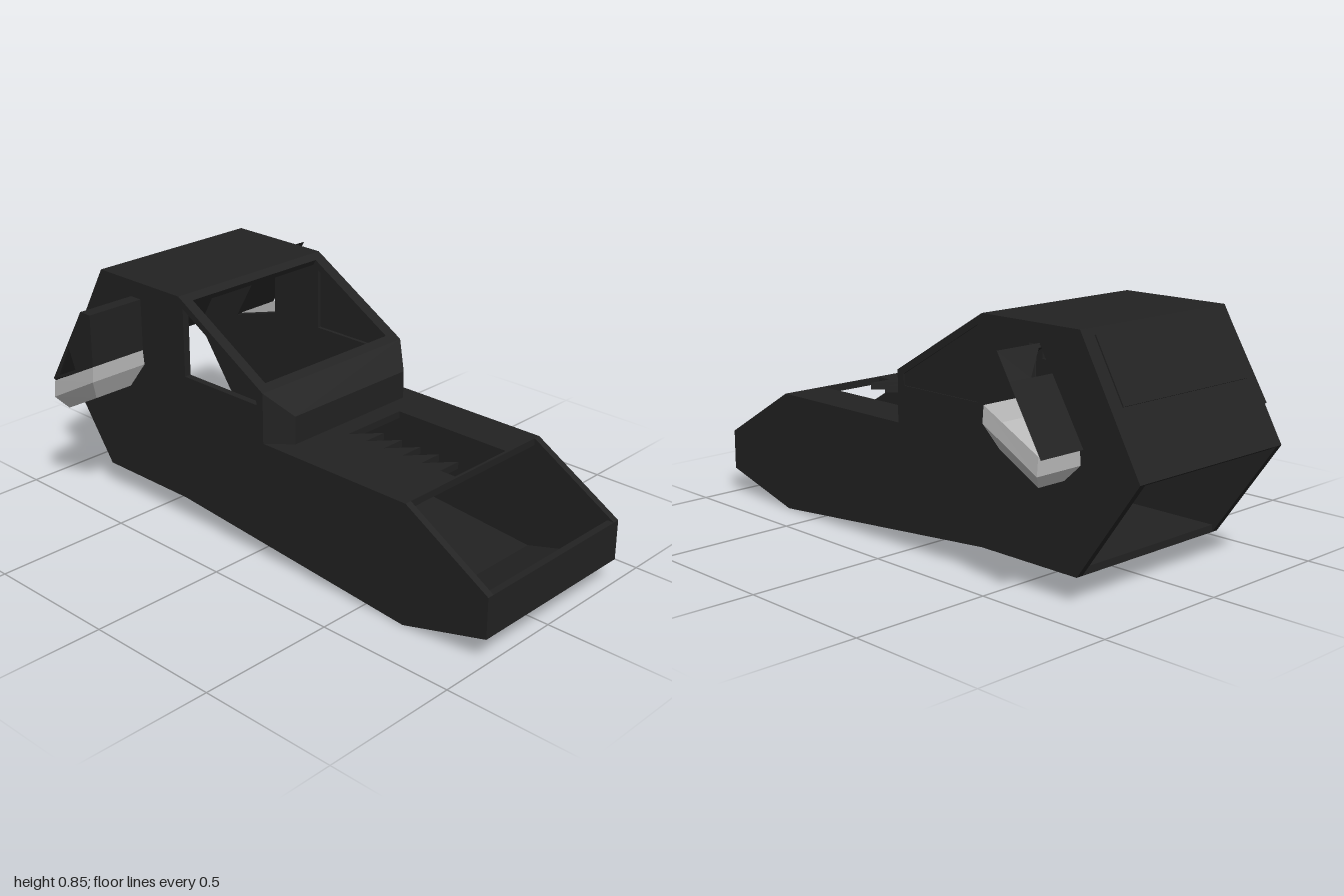
import * as THREE from 'three';

const X0 = -0.32, X1 = 0.36, T = 0.025; // outer faces of the two side walls, wall thickness

export function createModel() {
  const model = new THREE.Group();
  const dark = new THREE.MeshStandardMaterial({ color: 0x222222, side: THREE.DoubleSide });
  dark.name = 'darkHull';
  const light = new THREE.MeshStandardMaterial({ color: 0xb8b8b8, side: THREE.DoubleSide });
  light.name = 'lightGrey';

  const add = (name, geometry, material = dark) => {
    const mesh = new THREE.Mesh(geometry, material);
    mesh.name = name;
    model.add(mesh);
  };
  const toShape = (pts, holes = []) => {
    const shape = new THREE.Shape(pts.map(p => new THREE.Vector2(...p)));
    shape.holes = holes.map(h => new THREE.Path(h.map(p => new THREE.Vector2(...p))));
    return shape;
  };
  // Extrude a (z, y) outline across x from x0 to x1
  const across = (pts, x0, x1, holes) => {
    const g = new THREE.ExtrudeGeometry(toShape(pts, holes), { depth: x1 - x0, bevelEnabled: false });
    return g.rotateY(-Math.PI / 2).translate(x1, 0, 0);
  };
  // Flat panel between two (z, y) points, thickened to the inside
  const strip = (name, a, b, x0 = X0 + T, x1 = X1 - T, t = T) => {
    const dz = b[0] - a[0], dy = b[1] - a[1], l = Math.hypot(dz, dy);
    const n = [dy / l * t, -dz / l * t];
    add(name, across([a, b, [b[0] + n[0], b[1] + n[1]], [a[0] + n[0], a[1] + n[1]]], x0, x1));
  };
  const mix = (a, b, k) => [a[0] + (b[0] - a[0]) * k, a[1] + (b[1] - a[1]) * k];
  // Faces from quads of [x, y, z] corners
  const quads = list => {
    const pos = [];
    for (const [a, b, c, d] of list) pos.push(...a, ...b, ...c, ...a, ...c, ...d);
    const g = new THREE.BufferGeometry();
    g.setAttribute('position', new THREE.Float32BufferAttribute(pos, 3));
    g.computeVertexNormals();
    return g;
  };

  // Side walls with cabin window and scoop opening
  const noseTop = [1, 0.235], noseLow = [1, 0.09], keel = [0.67, 0], keelBack = [-0.35, 0.09];
  const tailLow = [-0.76, 0.09], tail = [-1, 0.425], roofBack = [-0.76, 0.845], roofFront = [-0.35, 0.845];
  const sill = [0.05, 0.61], deckBack = [0.05, 0.43], deckFront = [0.67, 0.43];
  const outline = [noseTop, noseLow, keel, keelBack, tailLow, tail, roofBack, roofFront, sill, deckBack, deckFront];
  const sideWindow = [[0.02, 0.56], [0.02, 0.6], [-0.33, 0.806], [-0.33, 0.56]];
  const scoopOpening = [[-0.555, 0.56], [-0.555, 0.78], [-0.6, 0.78], [-0.765, 0.5]];
  add('rightWall', across(outline, X0, X0 + T, [sideWindow, scoopOpening]));
  add('leftWall', across(outline, X1 - T, X1, [sideWindow, scoopOpening]));
  add('leftWindowPanel', across(sideWindow, X1 - 0.012, X1 - 0.004));

  // Hull panels; nose top, windscreen and lower tail stay open
  strip('nosePlate', noseTop, noseLow);
  strip('noseUnderside', noseLow, keel);
  strip('floor', keel, keelBack);
  strip('rearFloor', keelBack, tailLow);
  strip('rearUpperPanel', tail, roofBack);
  strip('roof', roofBack, roofFront);
  strip('rearHatch', mix(tail, roofBack, 0.95), mix(tail, roofBack, 0.48), -0.28, 0.31, 0.005);

  // Windscreen frame
  strip('windscreenTopBar', roofFront, mix(roofFront, sill, 0.07));
  strip('windscreenBottomBar', mix(roofFront, sill, 0.93), sill);
  strip('rightWindscreenPost', roofFront, sill, X0 + T, -0.28);
  strip('leftWindscreenPost', roofFront, sill, 0.315, X1 - T);

  // Bevelled cowl in front of the windscreen
  const a = [X0, 0.61, 0.05], b = [X1, 0.61, 0.05], c = [0.29, 0.53, 0.13], d = [-0.25, 0.53, 0.13];
  const e = [X0, 0.43, 0.05], f = [X1, 0.43, 0.05], g = [0.29, 0.43, 0.13], h = [-0.25, 0.43, 0.13];
  add('cowl', quads([[d, c, b, a], [h, g, c, d], [e, h, d, a], [g, f, b, c]]));

  // Front deck with a hatch opening that has a toothed edge
  const hatch = [[0.19, -0.66], [0.19, -0.2], [-0.07, -0.2]];
  for (let i = 1; i <= 5; i++) {
    const z = -0.2 - i * 0.08;
    hatch.push([0.02, z], [-0.07, z]);
  }
  hatch.push([-0.07, -0.66]);
  const deck = toShape([[X0 + T, -0.67], [X1 - T, -0.67], [X1 - T, -0.05], [X0 + T, -0.05]], [hatch]);
  add('deck', new THREE.ExtrudeGeometry(deck, { depth: T, bevelEnabled: false })
    .rotateX(-Math.PI / 2).translate(0, 0.43 - T, 0));

  // Slanted scoop trays, open on top and tapering downwards
  const tray = (name, x0, x1, drop) => {
    const ring = (yf, zf, yb, zb, inset) => [
      [x0 + inset, yf - drop, zf], [x1 - inset, yf - drop, zf],
      [x1 - inset, yb - drop, zb], [x0 + inset, yb - drop, zb]];
    const rings = [
      ring(0.56, -0.575, 0.46, -0.74, 0.04), // inner floor
      ring(0.615, -0.545, 0.5, -0.77, 0.005),
      ring(0.56, -0.545, 0.44, -0.77, 0),
      ring(0.48, -0.58, 0.395, -0.74, 0.038)];
    const faces = [[...rings[0]], [...rings[3]].reverse()];
    for (let r = 0; r < 3; r++) for (let i = 0; i < 4; i++) {
      const j = (i + 1) % 4;
      faces.push([rings[r][i], rings[r + 1][i], rings[r + 1][j], rings[r][j]]);
    }
    add(name, quads(faces), light);
  };
  tray('rightScoopTray', -0.55, X0, 0.015);
  tray('leftScoopTray', X1, 0.545, 0);

  // Right scoop hood: front, top, sloped back and pierced outer side
  const hoodFront = [-0.55, 0.785], hoodBack = [-0.6, 0.785], hoodLow = [-0.78, 0.49];
  strip('rightHoodBack', hoodLow, hoodBack, -0.54, X0, 0.01);
  strip('rightHoodTop', hoodBack, hoodFront, -0.54, X0, 0.01);
  strip('rightHoodFront', hoodFront, [-0.55, 0.575], -0.54, X0, 0.01);
  add('rightHoodSide', across([[-0.55, 0.585], hoodFront, hoodBack, hoodLow], -0.542, -0.532,
    [[[-0.68, 0.635], [-0.65, 0.56], [-0.745, 0.512]]]));

  // Left scoop hood: only the sloped back, with a cut corner
  const at = (x, y) => [x, y, hoodLow[0] + (y - hoodLow[1]) * 0.18 / 0.295];
  add('leftHoodBack', quads([
    [at(X1, 0.49), at(0.54, 0.49), at(0.54, 0.7), at(X1, 0.7)],
    [at(0.45, 0.7), at(0.54, 0.7), at(0.54, 0.785), at(X1, 0.785)]]));

  return model;
}
